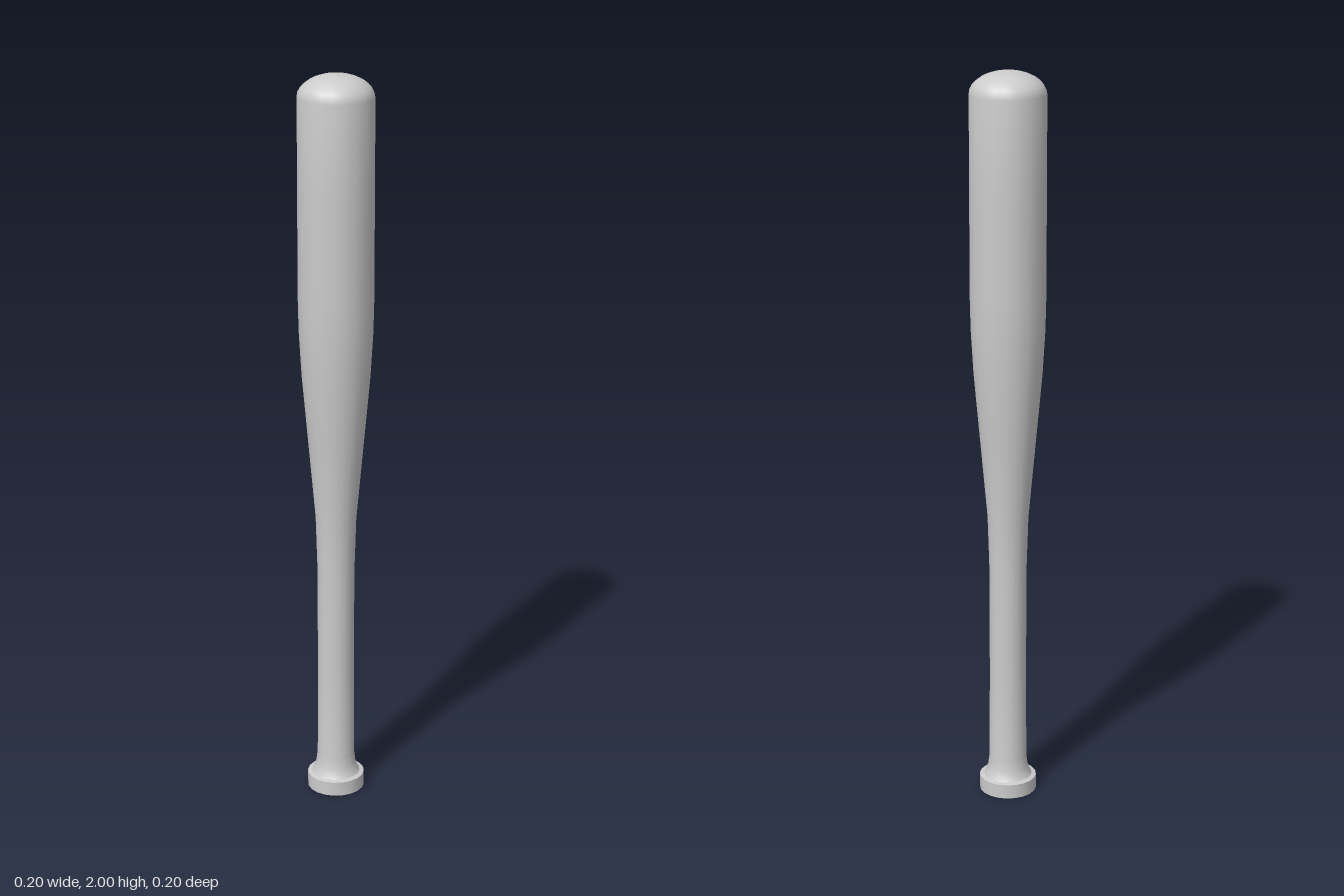
import * as THREE from 'three';
import { toCreasedNormals } from 'three/addons/utils/BufferGeometryUtils.js';

const SIDES = 20;

// Turned part from [radius, height] pairs, bottom to top; sharp corners stay sharp
function turned(name, profile, material) {
  const points = profile.map(([r, y]) => new THREE.Vector2(r, y));
  const geometry = toCreasedNormals(new THREE.LatheGeometry(points, SIDES), 0.75);
  const mesh = new THREE.Mesh(geometry, material);
  mesh.name = name;
  return mesh;
}

export function createModel() {
  const group = new THREE.Group();
  group.name = 'bat';
  const material = new THREE.MeshStandardMaterial({ color: 0xcccccc });

  // Flat disc at the foot of the handle
  group.add(turned('knob', [[0, 0], [0.078, 0], [0.078, 0.04], [0.066, 0.043]], material));

  // Rounded tip: a quarter ellipse closing the barrel
  const tip = [];
  for (let i = 0; i <= 8; i++) {
    const a = (i / 8) * Math.PI / 2;
    tip.push([i === 8 ? 0 : 0.1 * Math.cos(a), 1.94 + 0.06 * Math.sin(a)]);
  }

  // Flared handle, taper, barrel and tip in one smooth sweep
  group.add(turned('handleAndBarrel', [
    [0.066, 0.043], [0.06, 0.053], [0.055, 0.07], [0.051, 0.1],
    [0.05, 0.35], [0.05, 0.64], [0.055, 0.8], [0.073, 1.0],
    [0.091, 1.2], [0.098, 1.32], [0.1, 1.41], [0.1, 1.7],
    ...tip,
  ], material));

  return group;
}
